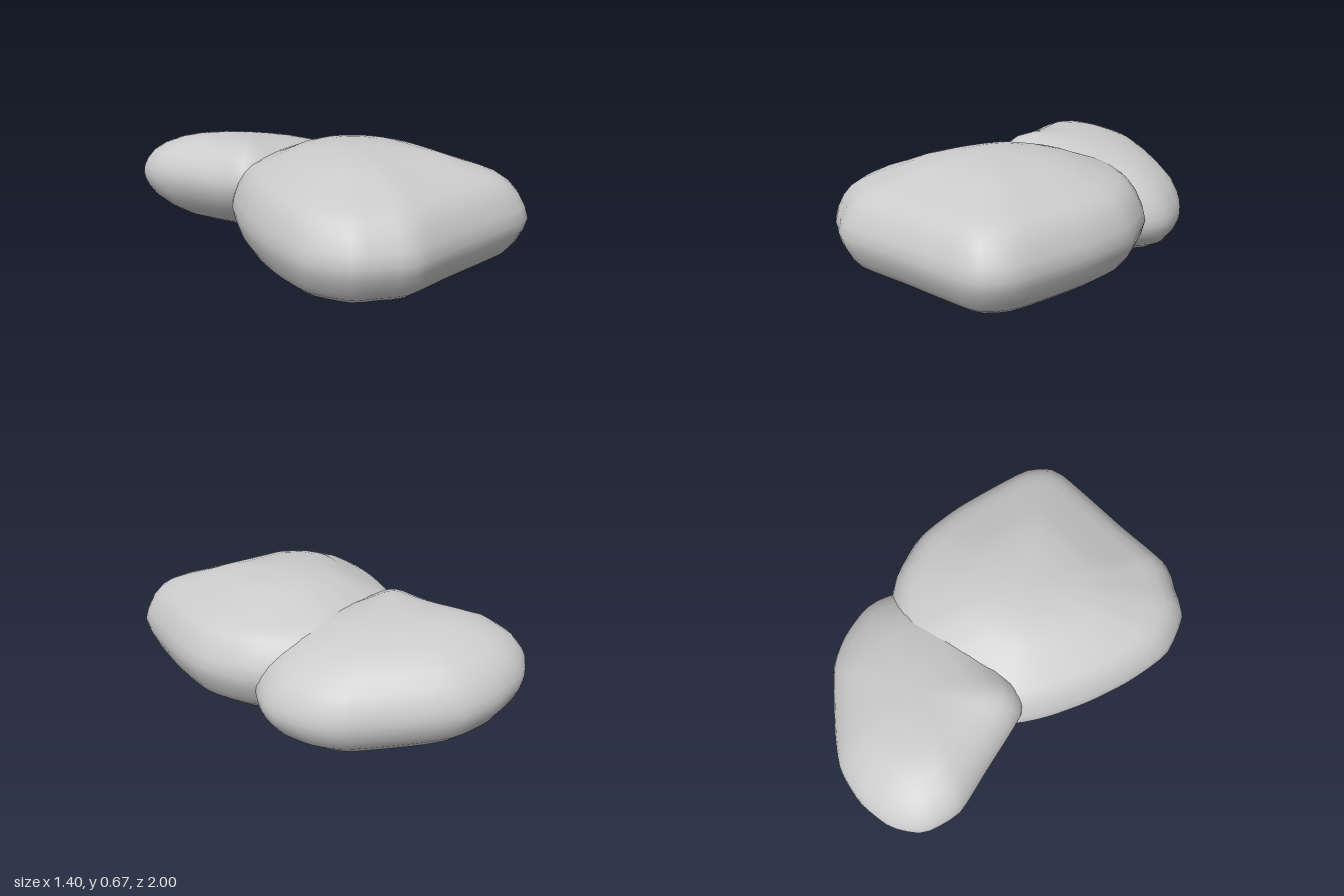
import * as THREE from 'three';
import { mergeVertices } from 'three/addons/utils/BufferGeometryUtils.js';

// Upper half of each stone's section: [fraction of plan radius, fraction of half height]
const LARGE_DOME = [[0, 1], [0.12, 0.995], [0.25, 0.973], [0.38, 0.93], [0.5, 0.865], [0.62, 0.765],
  [0.75, 0.67], [0.83, 0.595], [0.89, 0.5], [0.94, 0.36], [0.98, 0.17]];
const SMALL_DOME = [[0, 1], [0.15, 0.995], [0.3, 0.975], [0.5, 0.915], [0.65, 0.825], [0.8, 0.665],
  [0.9, 0.49], [0.96, 0.3], [0.99, 0.14]];
const SEGMENTS = 64;

// Pebble: the plan outline [x, z] (front, left, back, right) shrinks along the domed profile
function makeStone(name, outline, dome, [cx, cz], midY, halfHeight, lift) {
  const profile = [...dome, [1, 0], ...dome.map(([s, h]) => [s, -h]).reverse()];
  const curve = new THREE.CatmullRomCurve3(
    outline.map(([x, z]) => new THREE.Vector3(x, 0, z)), true, 'catmullrom', 0.3);
  const rim = curve.getSpacedPoints(SEGMENTS).slice(0, SEGMENTS);
  const positions = [];
  const indices = [];
  profile.forEach(([s, h], j) => {
    rim.forEach((p, i) => {
      const x = cx + (p.x - cx) * s;
      const z = cz + (p.z - cz) * s;
      positions.push(x, midY + h * halfHeight + lift(x, z), z);
      if (j === profile.length - 1) return;
      const n = (i + 1) % SEGMENTS;
      const a = j * SEGMENTS + i, b = a + SEGMENTS;
      const c = j * SEGMENTS + n, d = c + SEGMENTS;
      if (j > 0) indices.push(a, c, b);
      if (j < profile.length - 2) indices.push(c, d, b);
    });
  });
  let geometry = new THREE.BufferGeometry();
  geometry.setAttribute('position', new THREE.Float32BufferAttribute(positions, 3));
  geometry.setIndex(indices);
  geometry = mergeVertices(geometry, 1e-5);
  geometry.computeVertexNormals();
  const mesh = new THREE.Mesh(geometry, new THREE.MeshStandardMaterial({ color: 0xcccccc }));
  mesh.name = name;
  return mesh;
}

// Small stone: tilted down towards its back left, with a knob at the corner on the large stone
function smallStoneLift(x, z) {
  const d2 = (x + 0.36) ** 2 + (z + 0.12) ** 2;
  return -0.14 * (x + 0.12) + 0.08 * (z + 0.5) + 0.03 * Math.exp(-d2 / 0.02);
}

export function createModel() {
  const group = new THREE.Group();
  group.name = 'stones';

  // Large front stone, its back end buried in the smaller one
  group.add(makeStone('largeStone', [
    [-0.21, 1], [-0.34, 0.955], [-0.475, 0.9], [-0.59, 0.71], [-0.605, 0.46], [-0.58, 0.22],
    [-0.53, 0], [-0.46, -0.17], [-0.32, -0.3], [-0.1, -0.42], [0.15, -0.46], [0.38, -0.37],
    [0.53, -0.25], [0.66, -0.03], [0.7, 0.25], [0.69, 0.68], [0.6, 0.83], [0.4, 0.88],
    [0.1, 0.935],
  ], LARGE_DOME, [0, 0.24], 0.335, 0.335, () => 0));

  // Smaller rear stone
  group.add(makeStone('smallStone', [
    [-0.39, -0.06], [-0.47, -0.12], [-0.6, -0.4], [-0.7, -0.62], [-0.685, -0.81],
    [-0.57, -0.93], [-0.39, -0.995], [-0.2, -1], [-0.02, -0.935], [0.3, -0.77], [0.42, -0.64],
    [0.495, -0.48], [0.5, -0.37], [0.46, -0.25], [0.34, -0.1], [0.08, -0.02], [-0.2, -0.03],
  ], SMALL_DOME, [-0.12, -0.5], 0.337, 0.258, smallStoneLift));

  return group;
}
